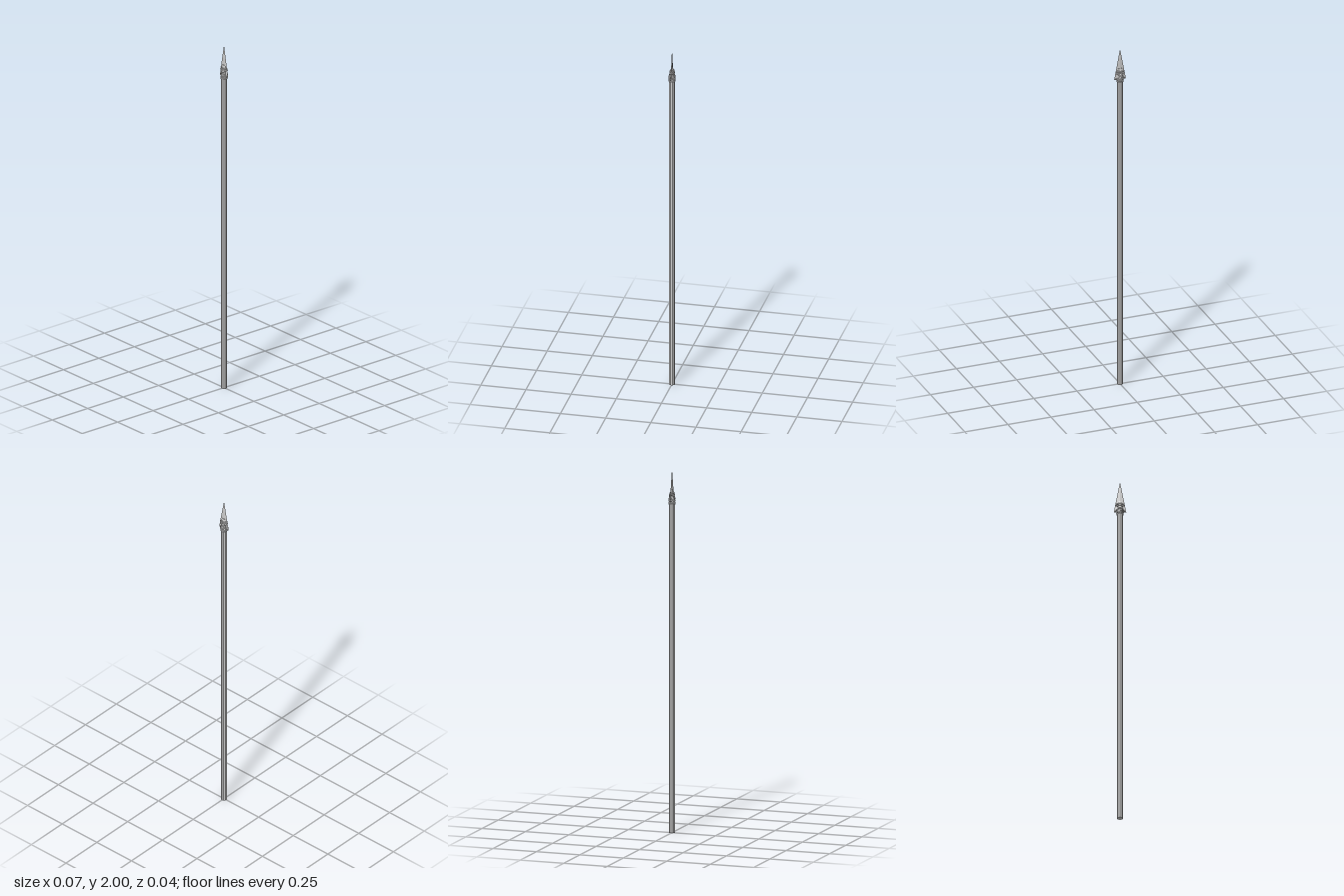
import * as THREE from 'three';

const material = new THREE.MeshStandardMaterial({ color: 0xcccccc, flatShading: true });

function add(group, name, geometry) {
  const mesh = new THREE.Mesh(geometry, material);
  mesh.name = name;
  group.add(mesh);
}

// Half depth of the wedge that ends the shaft, at height y
const wedgeDepth = y => THREE.MathUtils.mapLinear(THREE.MathUtils.clamp(y, 1.825, 1.9), 1.825, 1.9, 0.016, 0.003);

// Closed cord loop around the joint; slope tilts it sideways
function cordLoop(y, halfWidth, slope, cord = 0.003) {
  const points = [];
  for (let i = 0; i < 10; i++) {
    const a = (i / 10) * Math.PI * 2;
    const x = Math.cos(a) * halfWidth;
    const py = y + slope * x;
    points.push(new THREE.Vector3(x, py, Math.sin(a) * (wedgeDepth(py) + 0.001)));
  }
  return new THREE.TubeGeometry(new THREE.CatmullRomCurve3(points, true), 20, cord, 5, true);
}

export function createModel() {
  const group = new THREE.Group();
  group.name = 'spear';

  // Shaft
  const shaft = new THREE.CylinderGeometry(0.017, 0.017, 1.825, 10);
  shaft.translate(0, 1.825 / 2, 0);
  add(group, 'shaft', shaft);

  // Wedge end, flattened front to back towards the blade
  const wedge = new THREE.CylinderGeometry(0.017, 0.017, 0.06, 10);
  wedge.translate(0, 1.855, 0);
  const p = wedge.attributes.position;
  for (let i = 0; i < p.count; i++) {
    if (p.getY(i) > 1.86) p.setXYZ(i, p.getX(i) * 0.8, p.getY(i), p.getZ(i) * 0.3);
  }
  wedge.computeVertexNormals();
  add(group, 'shaftWedge', wedge);

  // Thin blade with a diamond cross-section
  const blade = new THREE.CylinderGeometry(0, 0.034, 0.18, 4);
  blade.scale(1, 1, 0.1);
  blade.translate(0, 1.91, 0);
  add(group, 'blade', blade);

  // Lashing: level loops and a crossed pair
  const loops = [
    [1.808, 0.017, 0], [1.816, 0.018, 0.1], [1.826, 0.021, -0.15],
    [1.843, 0.024, 0.75], [1.843, 0.024, -0.75],
    [1.86, 0.022, 0], [1.868, 0.021, 0],
  ];
  loops.forEach(([y, w, s], i) => add(group, 'lashing' + (i + 1), cordLoop(y, w, s)));

  return group;
}
